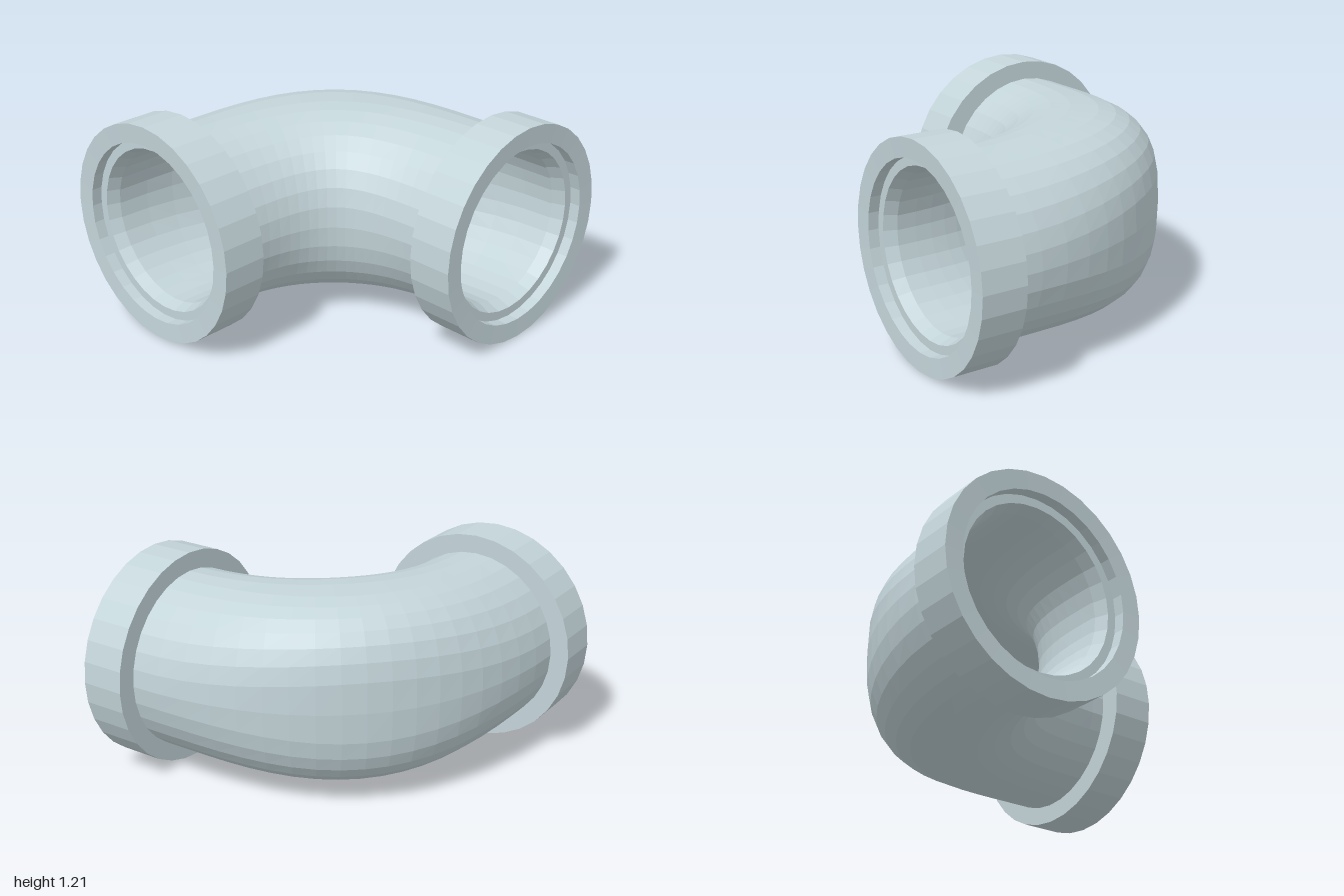
import * as THREE from 'three';

const SIDES = 32;
const STEPS = 18;
const AXIS_Y = 0.61;

// Facet normals
function faceted(geometry) {
  const g = geometry.toNonIndexed();
  g.computeVertexNormals();
  return g;
}

// Quarter-turn guide curve in plan, leaving along +x and arriving along +z
function guide(x0, z0, x1, z1, handle) {
  return new THREE.CubicBezierCurve3(
    new THREE.Vector3(x0, AXIS_Y, z0),
    new THREE.Vector3(x0 + handle, AXIS_Y, z0),
    new THREE.Vector3(x1, AXIS_Y, z1 - handle),
    new THREE.Vector3(x1, AXIS_Y, z1)
  );
}

const power = (v, e) => Math.sign(v) * Math.pow(Math.abs(v), e);

// Sections spanning two guide curves: round at the ends,
// swelling and growing squarer shoulders on the outside of the bend
function bendGeometry(outside, inside, radiusY, bulge, inward) {
  const positions = [];
  const index = [];
  for (let i = 0; i <= STEPS; i++) {
    const t = i / STEPS;
    const o = outside.getPoint(t);
    const n = inside.getPoint(t);
    const centre = o.clone().add(n).multiplyScalar(0.5);
    const half = o.sub(n).multiplyScalar(0.5);
    const swell = Math.sin(Math.PI * t) ** 2;
    const ry = radiusY + bulge * swell;
    for (let j = 0; j < SIDES; j++) {
      const a = (j / SIDES) * Math.PI * 2;
      const c = Math.cos(a);
      const e = 2 / (2 + (c > 0 ? 0.9 : 0.15) * swell);
      const p = centre.clone().addScaledVector(half, power(c, e));
      positions.push(p.x, p.y + ry * power(Math.sin(a), e), p.z);
    }
  }
  for (let i = 0; i < STEPS; i++) {
    for (let j = 0; j < SIDES; j++) {
      const a = i * SIDES + j;
      const b = i * SIDES + ((j + 1) % SIDES);
      const c = a + SIDES;
      const d = b + SIDES;
      if (inward) index.push(a, c, b, b, c, d);
      else index.push(a, b, c, b, d, c);
    }
  }
  const g = new THREE.BufferGeometry();
  g.setAttribute('position', new THREE.Float32BufferAttribute(positions, 3));
  g.setIndex(index);
  return faceted(g);
}

// Collar with a stepped socket, opening along +y
function collarGeometry() {
  const profile = [
    [0.46, 0], [0.606, 0], [0.606, 0.25], [0.502, 0.245], [0.502, 0.185],
    [0.453, 0.185], [0.428, 0.115], [0.428, 0],
  ].map(([r, y]) => new THREE.Vector2(r, y));
  return faceted(new THREE.LatheGeometry(profile, SIDES));
}

export function createModel() {
  const group = new THREE.Group();
  group.name = 'pipeElbow';

  const pipeGrey = new THREE.MeshStandardMaterial({ color: 0xc3d4d9 });
  pipeGrey.name = 'paleBlueGrey';

  const add = (name, geometry) => {
    const mesh = new THREE.Mesh(geometry, pipeGrey);
    mesh.name = name;
    group.add(mesh);
    return mesh;
  };

  // Curved pipe wall, outside and bore
  add('elbowOuterWall', bendGeometry(
    guide(-0.74, -0.893, 0.88, 0.755, 1.03),
    guide(-0.74, 0.095, -0.11, 0.755, 0.5),
    0.503, 0.022, false));
  add('elbowBore', bendGeometry(
    guide(-0.85, -0.817, 0.802, 0.865, 1.09),
    guide(-0.85, 0.027, -0.042, 0.865, 0.65),
    0.422, 0.022, true));

  // Collars at the two open ends
  const collar = collarGeometry();
  const front = add('frontCollar', collar);
  front.rotation.x = Math.PI / 2;
  front.position.set(0.38, AXIS_Y, 0.75);

  const side = add('sideCollar', collar);
  side.rotation.z = Math.PI / 2;
  side.position.set(-0.735, AXIS_Y, -0.394);

  return group;
}
